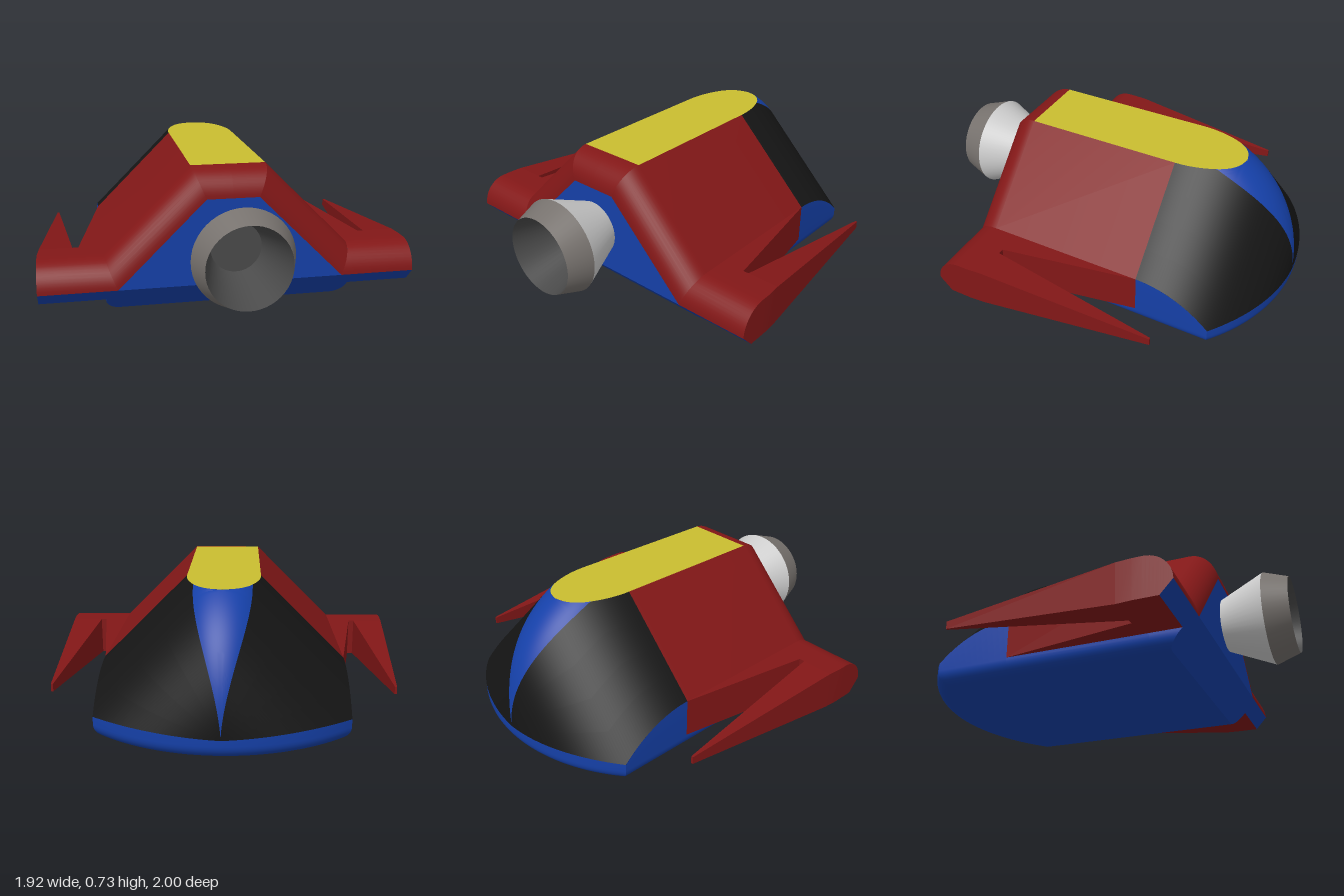
import * as THREE from 'three';
import { toCreasedNormals } from 'three/addons/utils/BufferGeometryUtils.js';

const paint = (color) => new THREE.MeshStandardMaterial({ color });
const lerp = THREE.MathUtils.lerp;

// hull dimensions
const W = 0.63, TOP = 0.73, SHOULDER = 0.29, SUM = 0.92; // flanks lie on x + y = SUM
const REAR = 0.63, ROUND = 0.14, NOSE_Z = -0.36, NOSE_L = 0.64, DROP = 0.82;
const ARC_Z = -0.053, ARC_R = 0.947;

// Skin of +x half given as rows of [x, y, z], mirrored to -x and merged.
function skin(halfRows) {
  const pos = [];
  const tri = (a, b, c) => {
    const [A, B, C] = [a, b, c].map((p) => new THREE.Vector3(...p));
    if (B.sub(A).cross(C.sub(A)).length() > 1e-9) pos.push(...a, ...b, ...c);
  };
  const add = (rows) => {
    for (let i = 0; i < rows.length - 1; i++)
      for (let j = 0; j < rows[i].length - 1; j++) {
        const a = rows[i][j], b = rows[i][j + 1], c = rows[i + 1][j + 1], d = rows[i + 1][j];
        tri(a, b, d);
        tri(b, c, d);
      }
  };
  add(halfRows);
  add(halfRows.map((r) => r.map(([x, y, z]) => [-x, y, z]).reverse()));
  const g = new THREE.BufferGeometry();
  g.setAttribute('position', new THREE.Float32BufferAttribute(pos, 3));
  return toCreasedNormals(g, 0.5);
}

// inset of the rounded rear edge, drop of the nose flanks
const inset = (z) => (z > REAR - ROUND ? ROUND - Math.sqrt(Math.max(0, ROUND ** 2 - (z - REAR + ROUND) ** 2)) : 0);
const noseDrop = (z) => {
  const u = Math.min(1, Math.max(0, (NOSE_Z - z) / NOSE_L));
  return DROP * (1 - Math.sqrt(1 - u * u));
};

export function createModel() {
  const model = new THREE.Group();
  const red = paint(0x821717), blue = paint(0x1540a8), black = paint(0x151515);
  const yellow = paint(0xc9be30), grey = paint(0xcccccc), darkGrey = paint(0x77726e), dark = paint(0x4a4a4a);
  const add = (name, geometry, material) => {
    const m = new THREE.Mesh(geometry, material);
    m.name = name;
    model.add(m);
    return m;
  };

  // rear stations following the rounded edge
  const rearZ = [];
  for (let i = 0; i <= 12; i++) rearZ.push(REAR - ROUND + ROUND * Math.cos((i / 12) * Math.PI / 2));

  // red flanks and the rounded red rear of the roof
  const shoulderX = (z) => W - 0.414 * inset(z);
  const roofX = (z) => SUM - TOP - 0.414 * inset(z);
  add('flanks', skin([...rearZ, NOSE_Z].map((z) => [
    [roofX(z), TOP - inset(z), z], [shoulderX(z), SHOULDER - inset(z), z],
  ])), red);
  add('roofRear', skin(rearZ.map((z) => [[0, TOP - inset(z), z], [roofX(z), TOP - inset(z), z]])), red);

  // nose: flat roof, rounded ridge stripe and black side panels, section by section
  const roof = [[[0, TOP, REAR - ROUND], [SUM - TOP, TOP, REAR - ROUND]]], ridge = [], panel = [];
  const N = 72;
  for (let i = 0; i <= N; i++) {
    const t = (i / N) * Math.PI / 2;
    const z = NOSE_Z - NOSE_L * Math.sin(t);
    const apex = SUM - DROP * (1 - Math.cos(t));
    const s = Math.min(1, Math.max(0, (-0.58 - z) / 0.42));
    const b = 0.145 * Math.max(0, 1 - s * s) ** 0.75;
    const flat = apex - TOP > b;
    const xTop = flat ? apex - TOP : b;
    const xLow = Math.min(W, Math.sqrt(Math.max(0, ARC_R ** 2 - (z - ARC_Z) ** 2)));
    panel.push([0, 0.25, 0.5, 0.75, 1].map((k) => {
      const x = lerp(xTop, Math.max(xTop, xLow), k);
      return [x, apex - x, z];
    }));
    if (flat) {
      roof.push([[0, TOP, z], [xTop, TOP, z]]);
      ridge.length = 0;
      ridge.push(Array.from({ length: 9 }, () => [xTop, TOP, z]));
      continue;
    }
    const r = b * Math.SQRT2, yc = apex - 2 * b;
    const start = r > 1e-6 ? Math.min(Math.PI / 4, Math.acos(Math.min(1, (TOP - yc) / r))) : 0;
    if (TOP < yc + r) roof.push([[0, TOP, z], [r * Math.sin(start), TOP, z]]);
    ridge.push(Array.from({ length: 9 }, (_, j) => {
      const a = lerp(start, Math.PI / 4, j / 8);
      return [r * Math.sin(a), yc + r * Math.cos(a), z];
    }));
  }
  roof.push([[0, TOP, -0.68], [0, TOP, -0.68]]);
  add('roof', skin(roof), yellow);
  add('noseStripe', skin(ridge), blue);
  add('nosePanels', skin(panel), black);

  // blue base: plan outline rings rising through the bottom fillet to the nose edge
  const F = 0.07;
  const ring = (y, ins, edge) => {
    const zr = Math.min(REAR, 0.49 + (0.14 * y) / 0.15);
    const w = W - ins, R = ARC_R - ins, a0 = Math.asin(w / R), zc = ARC_Z - R * Math.cos(a0);
    const pts = [[0, y, zr], [w, y, zr], [w, y, 0.4], [w, y, NOSE_Z]];
    for (let i = 1; i <= 12; i++) pts.push([w, y, lerp(NOSE_Z, zc, i / 12)]);
    for (let i = 1; i <= 24; i++) {
      const a = a0 * (1 - i / 24);
      pts.push([R * Math.sin(a), y, ARC_Z - R * Math.cos(a)]);
    }
    if (edge) pts.forEach((p) => { if (p[2] < 0.45) p[1] = SUM - noseDrop(p[2]) - p[0]; });
    return pts;
  };
  const rings = [ring(0, F).map(([, y, z]) => [0, y, z])];
  for (let i = 0; i <= 8; i++) {
    const a = (i / 8) * Math.PI / 2;
    rings.push(ring(F * (1 - Math.cos(a)), F * (1 - Math.sin(a))));
  }
  rings.push(ring(0.15, 0, true));
  add('base', skin(rings), blue);

  // flat rear wall inside the rounded edge
  const xr = roofX(REAR);
  add('rearWall', skin([
    [[0, 0.15, REAR], [shoulderX(REAR), 0.15, REAR]],
    [[0, TOP - ROUND, REAR], [xr, TOP - ROUND, REAR]],
  ]), blue);

  // wings: rear slab, then an inner and an outer spike
  const OUT = 0.96, NOTCH = 0.36, LOW = 0.08;
  const low = (z) => Math.max(LOW, LOW + (z - 0.565) * (0.07 / 0.065));
  const outX = (z) => (z > 0.44 ? OUT : lerp(0.879, OUT, (z + 0.56) / 1));
  add('wingSlabs', skin([...rearZ, 0.565, 0.44, NOTCH].sort((a, b) => b - a).map((z) => [
    [shoulderX(z), SHOULDER - inset(z), z], [outX(z), SHOULDER - inset(z), z], [outX(z), low(z), z],
  ])), red);
  add('wingUndersides', skin([
    [[W, LOW, NOTCH], [outX(NOTCH), LOW, NOTCH]],
    [[W, LOW, 0.44], [OUT, LOW, 0.44]],
    [[W, LOW, 0.565], [OUT, LOW, 0.565]],
  ]), red);
  add('wingChamfers', skin([
    [[W - 0.06, LOW, 0.565], [OUT, LOW, 0.565]],
    [[W - 0.06, 0.15, REAR], [OUT, 0.15, REAR]],
  ]), blue);
  add('wingNotches', skin([
    [[0.755, SHOULDER, NOTCH], [0.785, SHOULDER, NOTCH]],
    [[0.755, LOW, NOTCH], [0.785, LOW, NOTCH]],
  ]), red);
  const section = (x0, x1, y0, y1, z) => [[x0, y1, z], [x1, y1, z], [x1, y0, z], [x0, y0, z], [x0, y1, z]];
  add('innerSpikes', skin([
    section(W, 0.755, LOW, SHOULDER, NOTCH), section(W, W, LOW, SHOULDER, NOSE_Z),
  ]), red);
  add('outerSpikes', skin([
    section(0.785, outX(NOTCH), LOW, SHOULDER, NOTCH), section(0.868, 0.879, 0.163, 0.203, -0.56),
    section(0.873, 0.873, 0.183, 0.183, -0.56),
  ]), red);

  // engine nozzle
  const nozzle = (name, profile, material) => {
    material.side = THREE.DoubleSide;
    const g = new THREE.LatheGeometry(profile.map((p) => new THREE.Vector2(...p)), 48);
    const m = add(name, toCreasedNormals(g, 0.5), material);
    m.rotation.x = Math.PI / 2;
    m.position.y = 0.365;
  };
  nozzle('nozzleCone', [[0.14, 0.62], [0.25, 0.87]], grey);
  nozzle('nozzleRim', [[0.25, 0.87], [0.205, 1]], darkGrey);
  nozzle('nozzleInside', [[0.205, 1], [0.127, 0.7], [0, 0.7]], dark);
  return model;
}
